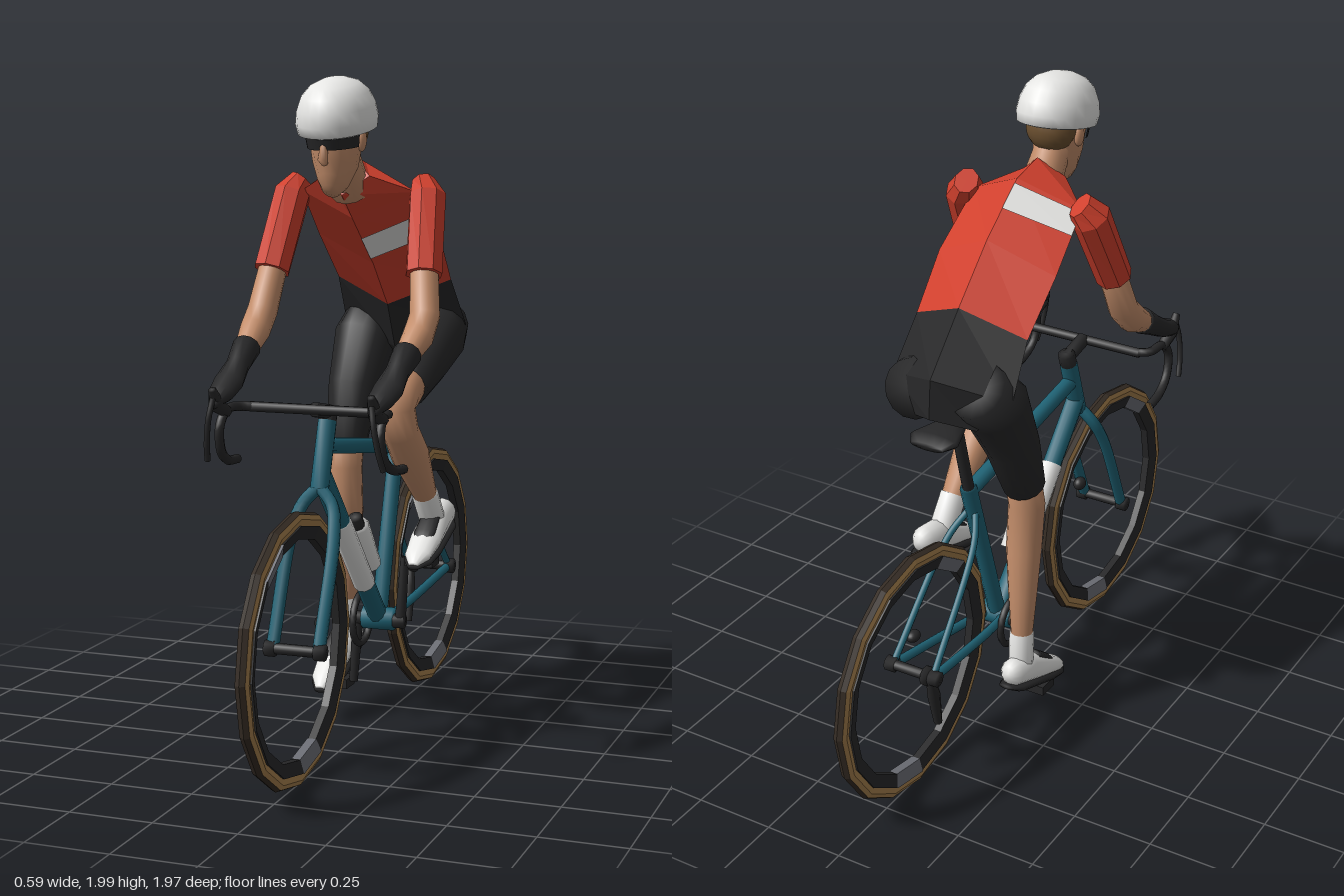
import * as THREE from 'three';

const mat = (name, color) => Object.assign(new THREE.MeshStandardMaterial({ color }), { name });
const V = (p) => new THREE.Vector3(p[0], p[1], p[2]);

// Closed surface through rings of points, capped at both ends
function skin(rings, flat = false) {
  const n = rings[0].length, pos = [], idx = [];
  rings.forEach((r) => r.forEach((p) => pos.push(p.x, p.y, p.z)));
  for (let i = 0; i < rings.length - 1; i++) for (let j = 0; j < n; j++) {
    const a = i * n + j, b = i * n + (j + 1) % n;
    idx.push(a, b, a + n, b, b + n, a + n);
  }
  [0, rings.length - 1].forEach((i) => {
    const c = new THREE.Vector3(), k = pos.length / 3;
    rings[i].forEach((p) => c.addScaledVector(p, 1 / n));
    pos.push(c.x, c.y, c.z);
    for (let j = 0; j < n; j++) {
      const a = i * n + j, b = i * n + (j + 1) % n;
      if (i) idx.push(k, a, b); else idx.push(k, b, a);
    }
  });
  let g = new THREE.BufferGeometry();
  g.setAttribute('position', new THREE.Float32BufferAttribute(pos, 3));
  g.setIndex(idx);
  if (flat) g = g.toNonIndexed();
  g.computeVertexNormals();
  return g;
}

// Tapered limb through points [x, y, z, radius, second radius]
function limb(pts, sides = 12, flat = false) {
  const P = pts.map(V);
  return skin(pts.map((p, i) => {
    const t = P[Math.min(i + 1, P.length - 1)].clone().sub(P[Math.max(i - 1, 0)]).normalize();
    const u = Math.abs(t.x) > 0.9 ? new THREE.Vector3(0, 0, 1) : new THREE.Vector3(1, 0, 0);
    u.addScaledVector(t, -u.dot(t)).normalize();
    const v = t.clone().cross(u);
    return Array.from({ length: sides }, (_, j) => {
      const a = (j / sides) * Math.PI * 2;
      return P[i].clone().addScaledVector(u, p[3] * Math.cos(a)).addScaledVector(v, (p[4] ?? p[3]) * Math.sin(a));
    });
  }), flat);
}

export function createModel() {
  const root = new THREE.Group();
  const red = mat('jersey red', 0xd0402d), black = mat('black', 0x272728), skinTone = mat('skin', 0xc48e6b);
  const white = mat('white', 0xe6e6e4), teal = mat('frame teal', 0x1f6274), tan = mat('tyre tan', 0xa47e4c);
  const grey = mat('rim grey', 0x6d6f76), hair = mat('hair brown', 0x6c5030), treadDark = mat('tread dark', 0x342b23);
  const add = (name, geo, m, parent = root) => {
    const mesh = new THREE.Mesh(geo, m);
    mesh.name = name;
    parent.add(mesh);
    return mesh;
  };
  const rod = (name, a, b, r, m, r2 = r) => add(name, limb([[...a, r], [...b, r2]], 10), m);
  const tube = (name, pts, r, m) => add(name, new THREE.TubeGeometry(new THREE.CatmullRomCurve3(pts.map(V)), 24, r, 8), m);
  const ball = (name, c, s, m) => {
    const b = add(name, new THREE.SphereGeometry(1, 20, 14), m);
    b.position.set(...c);
    b.scale.set(...s);
  };

  // Wheels: sixteen-sided tyre with pale walls, dark rim and two rim decals
  const ring = (profile, start = 0, segs = 16) => {
    const g = new THREE.LatheGeometry(profile.map(([r, x]) => new THREE.Vector2(r, x)), segs, start, segs * Math.PI / 8)
      .rotateZ(Math.PI / 2).toNonIndexed();
    g.computeVertexNormals();
    return g;
  };
  const wall = [[0.35, -0.014], [0.375, -0.021], [0.389, -0.015]];
  const rim = [[0.318, -0.012], [0.357, -0.022], [0.357, 0.022], [0.318, 0.012], [0.318, -0.012]];
  const decal = rim.map(([r, x]) => [r + (r < 0.33 ? -0.002 : 0.001), x * 1.12]);
  for (const [name, z] of [['frontWheel', 0.588], ['rearWheel', -0.588]]) {
    const w = new THREE.Group();
    w.name = name;
    w.position.set(0, 0.405, z);
    root.add(w);
    add('tyreWall', ring(wall), tan, w);
    add('tyreWall', ring(wall.map(([r, x]) => [r, -x]).reverse()), tan, w);
    add('tread', ring([[0.389, -0.015], [0.396, 0], [0.389, 0.015]]), treadDark, w);
    add('rim', ring(rim), black, w);
    for (const step of [2, 11]) add('rimDecal', ring(decal, step * Math.PI / 8, 1), grey, w);
    rod('axle', [-0.08, 0.405, z], [0.08, 0.405, z], 0.016, black);
    for (const s of [-1, 1]) rod('axleNut', [s * 0.06, 0.405, z], [s * 0.09, 0.405, z], 0.024, black);
  }
  ball('frontBrake', [0.055, 0.475, 0.525], [0.02, 0.022, 0.025], black);
  ball('rearBrake', [0.05, 0.465, -0.508], [0.02, 0.018, 0.026], black);

  // Frame and fork
  const crank = [0, 0.335, -0.105], seatTop = [0, 0.87, -0.27];
  rod('headTube', [0, 0.83, 0.4], [0, 1.02, 0.335], 0.028, teal);
  rod('topTube', [0, 0.95, 0.35], [0, 0.855, -0.265], 0.024, teal);
  rod('downTube', [0, 0.87, 0.385], crank, 0.03, teal);
  rod('downTubePanel', [0, 0.705, 0.236], [0, 0.475, 0.027], 0.034, white);
  rod('seatTube', seatTop, crank, 0.026, teal);
  rod('bottomBracket', [-0.05, 0.335, -0.105], [0.05, 0.335, -0.105], 0.036, teal);
  for (const s of [-1, 1]) {
    tube('forkLeg', [[0, 0.84, 0.4], [s * 0.045, 0.79, 0.415], [s * 0.065, 0.71, 0.455], [s * 0.07, 0.41, 0.585]], 0.019, teal);
    tube('seatStay', [[s * 0.012, 0.78, -0.25], [s * 0.045, 0.71, -0.315], [s * 0.07, 0.41, -0.588]], 0.011, teal);
    tube('chainStay', [[s * 0.03, 0.34, -0.12], [s * 0.045, 0.355, -0.24], [s * 0.07, 0.405, -0.588]], 0.014, teal);
  }

  // Seat post and saddle
  rod('seatPost', seatTop, [0, 1.1, -0.33], 0.018, black);
  add('saddle', limb([[0, 1.11, -0.49, 0.055, 0.012], [0, 1.115, -0.45, 0.08, 0.02], [0, 1.115, -0.38, 0.055, 0.022], [0, 1.115, -0.3, 0.025, 0.018], [0, 1.11, -0.225, 0.016, 0.012]]), black);

  // Drivetrain
  const chainring = add('chainring', new THREE.TorusGeometry(0.08, 0.011, 6, 24).rotateY(Math.PI / 2), black);
  chainring.position.set(-0.058, 0.33, -0.105);
  rod('sprocket', [-0.04, 0.405, -0.588], [-0.06, 0.405, -0.588], 0.03, black);
  add('derailleur', limb([[-0.065, 0.4, -0.595, 0.014], [-0.06, 0.33, -0.572, 0.02], [-0.055, 0.215, -0.545, 0.013]], 8), black);
  for (const s of [-1, 1]) {
    const y = 0.33 + s * 0.205;
    rod('crankArm', [s * 0.07, 0.33, -0.105], [s * 0.085, y, -0.105], 0.018, black, 0.014);
    rod('pedalAxle', [s * 0.04, 0.33, -0.105], [s * 0.085, 0.33, -0.105], 0.022, black);
    const pedal = add('pedal', new THREE.BoxGeometry(0.09, 0.03, 0.07), black);
    pedal.position.set(s * 0.14, y - 0.005, -0.105);
  }

  // Bottle
  rod('bottle', [0, 0.665, 0.085], [0, 0.525, -0.02], 0.036, white);
  rod('bottleCap', [0, 0.695, 0.108], [0, 0.66, 0.082], 0.022, black);

  // Stem, drop handlebar, hoods and levers
  rod('stemPost', [0, 1.01, 0.338], [0, 1.06, 0.32], 0.027, black);
  rod('stem', [0, 1.045, 0.325], [0, 1.065, 0.43], 0.022, black);
  rod('handlebarTop', [-0.2, 1.065, 0.43], [0.2, 1.065, 0.43], 0.015, black);
  for (const s of [-1, 1]) {
    tube('handlebarDrop', [[s * 0.19, 1.065, 0.43], [s * 0.225, 1.067, 0.45], [s * 0.235, 1.065, 0.52], [s * 0.24, 1.02, 0.555], [s * 0.245, 0.95, 0.535], [s * 0.25, 0.915, 0.48], [s * 0.255, 0.905, 0.4]], 0.014, black);
    add('hood', limb([[s * 0.235, 1.06, 0.52, 0.018], [s * 0.235, 1.085, 0.58, 0.022], [s * 0.235, 1.135, 0.615, 0.012]], 8), black);
    tube('brakeLever', [[s * 0.235, 1.11, 0.61], [s * 0.245, 1.05, 0.62], [s * 0.255, 0.98, 0.61], [s * 0.262, 0.93, 0.59]], 0.009, black);
  }

  // Torso: diamond sections [back y, back z, front y, front z, half width]
  const sections = [[1.19, -0.475, 1.11, -0.33, 0.11], [1.31, -0.465, 1.17, -0.25, 0.2], [1.47, -0.31, 1.31, -0.18, 0.185],
    [1.62, -0.155, 1.445, -0.05, 0.195], [1.75, 0.015, 1.59, 0.13, 0.18], [1.775, 0.13, 1.66, 0.215, 0.07]]
    .map(([by, bz, fy, fz, w]) => [[w, 0.52], [0, 0], [-w, 0.52], [0, 1]]
      .map(([x, k]) => new THREE.Vector3(x, by + k * (fy - by), bz + k * (fz - bz))));
  add('shortsSeat', skin(sections.slice(0, 3), true), black);
  add('jerseyBody', skin(sections.slice(2), true), red);

  // Diagonal white bands on the chest and the back
  const band = (name, a, b, ta, tb, off) => {
    const at = (j, t) => sections[3][j].clone().lerp(sections[4][j], t).add(V(off));
    const p = [at(a, ta[0]), at(b, tb[0]), at(b, tb[1]), at(a, ta[1])];
    const g = new THREE.BufferGeometry().setFromPoints([p[0], p[1], p[3], p[1], p[2], p[3]]);
    g.computeVertexNormals();
    add(name, g, white);
  };
  band('chestBand', 3, 0, [0.14, 0.59], [0.12, 0.6], [0.003, -0.005, 0.005]);
  band('backBand', 1, 2, [0.5, 0.91], [0.6, 0.95], [-0.003, 0.005, -0.005]);

  // Arms
  for (const s of [-1, 1]) {
    add('sleeve', limb([[s * 0.19, 1.695, 0.045, 0.035, 0.045], [s * 0.213, 1.655, 0.07, 0.055, 0.062], [s * 0.237, 1.435, 0.175, 0.055]], 8, true), red);
    add('forearm', limb([[s * 0.235, 1.45, 0.165, 0.042], [s * 0.252, 1.32, 0.21, 0.045], [s * 0.252, 1.265, 0.27, 0.045], [s * 0.242, 1.2, 0.385, 0.03]]), skinTone);
    add('glove', limb([[s * 0.246, 1.225, 0.345, 0.042], [s * 0.242, 1.18, 0.42, 0.034], [s * 0.24, 1.14, 0.49, 0.045, 0.03], [s * 0.237, 1.115, 0.55, 0.038, 0.028], [s * 0.236, 1.09, 0.61, 0.012]]), black);
  }

  // Shoe with its sole, heel to toe along z, and a dark tongue on top
  const shoe = (name, c, pitch) => {
    const g = new THREE.Group();
    g.name = name;
    g.position.set(...c);
    g.rotation.x = pitch;
    root.add(g);
    add('upper', limb([[0, 0.01, -0.168, 0.02, 0.025], [0, 0.01, -0.14, 0.04, 0.043], [0, 0.012, -0.06, 0.045, 0.05], [0, 0.0, 0.05, 0.05, 0.035], [0, -0.012, 0.13, 0.042, 0.024], [0, -0.02, 0.178, 0.015, 0.01]]), white, g);
    add('sole', limb([[0, -0.03, -0.165, 0.025, 0.008], [0, -0.035, -0.12, 0.044, 0.016], [0, -0.033, 0.06, 0.053, 0.02], [0, -0.033, 0.13, 0.046, 0.016], [0, -0.028, 0.18, 0.018, 0.008]]), black, g);
    add('tongue', limb([[0, 0.05, -0.02, 0.03, 0.012], [0, 0.027, 0.05, 0.034, 0.012], [0, 0.012, 0.085, 0.028, 0.01]]), black, g);
  };

  // Raised left leg
  add('leftThigh', limb([[0.1, 1.23, -0.4, 0.09], [0.115, 1.2, -0.29, 0.1], [0.125, 1.145, -0.14, 0.086], [0.13, 1.085, 0.02, 0.068]], 14), black);
  add('leftLowerLeg', limb([[0.13, 1.1, -0.01, 0.058], [0.13, 1.065, 0.08, 0.062], [0.13, 1.03, 0.115, 0.06], [0.132, 0.96, 0.075, 0.055], [0.135, 0.87, -0.01, 0.058], [0.142, 0.72, -0.14, 0.035]], 14), skinTone);
  add('leftSock', limb([[0.142, 0.735, -0.127, 0.041], [0.146, 0.61, -0.215, 0.04]]), white);
  shoe('leftShoe', [0.15, 0.605, -0.158], 0.27);

  // Extended right leg
  add('rightThigh', limb([[-0.1, 1.27, -0.38, 0.09], [-0.115, 1.19, -0.3, 0.1], [-0.13, 1.04, -0.235, 0.082], [-0.133, 0.87, -0.17, 0.064]], 14), black);
  add('rightLowerLeg', limb([[-0.133, 0.9, -0.18, 0.056], [-0.133, 0.8, -0.155, 0.056], [-0.135, 0.65, -0.175, 0.054], [-0.14, 0.5, -0.19, 0.044], [-0.145, 0.34, -0.205, 0.032]], 14), skinTone);
  add('rightSock', limb([[-0.145, 0.37, -0.203, 0.038], [-0.148, 0.22, -0.215, 0.038]]), white);
  shoe('rightShoe', [-0.15, 0.205, -0.14], 0.33);

  // Neck, head and hair
  add('neck', limb([[0, 1.67, 0.14, 0.06], [0, 1.76, 0.21, 0.055], [0, 1.83, 0.23, 0.06]]), skinTone);
  add('head', limb([[0, 1.675, 0.305, 0.025, 0.03], [0, 1.7, 0.285, 0.045, 0.055], [0, 1.75, 0.265, 0.063, 0.083], [0, 1.82, 0.26, 0.073, 0.1], [0, 1.9, 0.25, 0.07, 0.095]], 14), skinTone);
  add('nose', limb([[0, 1.815, 0.355, 0.01], [0, 1.765, 0.365, 0.016], [0, 1.755, 0.35, 0.01]], 8), skinTone);
  ball('hair', [0, 1.845, 0.21], [0.077, 0.075, 0.066], hair);
  for (const s of [-1, 1]) ball('ear', [s * 0.073, 1.82, 0.247], [0.014, 0.034, 0.02], skinTone);

  // Sunglasses
  const glasses = add('sunglasses', new THREE.CylinderGeometry(0.084, 0.078, 0.045, 16, 1, false, -1.4, 2.8), black);
  glasses.position.set(0, 1.825, 0.265);
  glasses.scale.z = 1.3;
  glasses.rotation.x = 0.12;

  // Helmet: a domed shell, tilted forwards
  const shell = [[0, -0.01], [0.85, -0.03], [0.96, 0], [1, 0.2], [0.95, 0.45], [0.82, 0.7], [0.6, 0.88], [0.3, 0.98], [0, 1]];
  const helmet = add('helmet', new THREE.LatheGeometry(shell.map(([r, y]) => new THREE.Vector2(r, y)), 24), white);
  helmet.scale.set(0.115, 0.148, 0.15);
  helmet.position.set(0, 1.85, 0.245);
  helmet.rotation.x = 0.2;
  return root;
}
